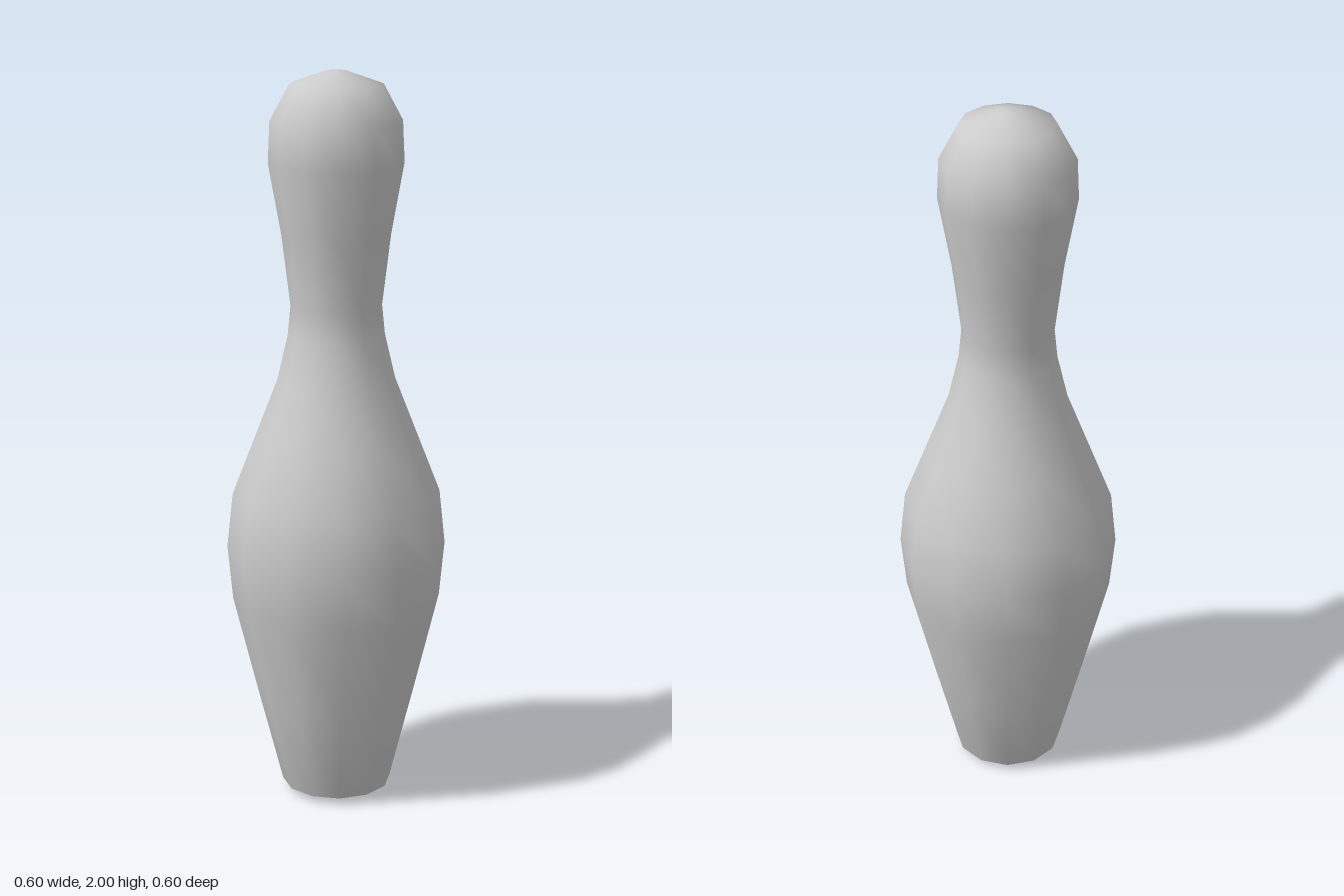
import * as THREE from 'three';

export function createModel() {
  const group = new THREE.Group();
  group.name = 'bowlingPin';

  // Half profile (radius, height), from the centre of the base to the crown
  const profile = [
    [0, 0], [0.11, 0.003], [0.15, 0.02],            // base with a small bevel
    [0.218, 0.29], [0.284, 0.56], [0.298, 0.71], [0.282, 0.86], // belly
    [0.22, 1.02], [0.158, 1.18], [0.13, 1.3], [0.122, 1.38],    // shoulder and neck
    [0.145, 1.57], [0.179, 1.76], [0.174, 1.87],                // head
    [0.123, 1.965], [0.03, 1.998], [0, 2],                      // crown
  ].map(([r, y]) => new THREE.Vector2(r, y));

  // Twelve-sided turned body with smooth normals
  const pin = new THREE.Mesh(
    new THREE.LatheGeometry(profile, 12),
    new THREE.MeshStandardMaterial({ color: 0xcccccc })
  );
  pin.name = 'pinBody';
  group.add(pin);
  return group;
}
